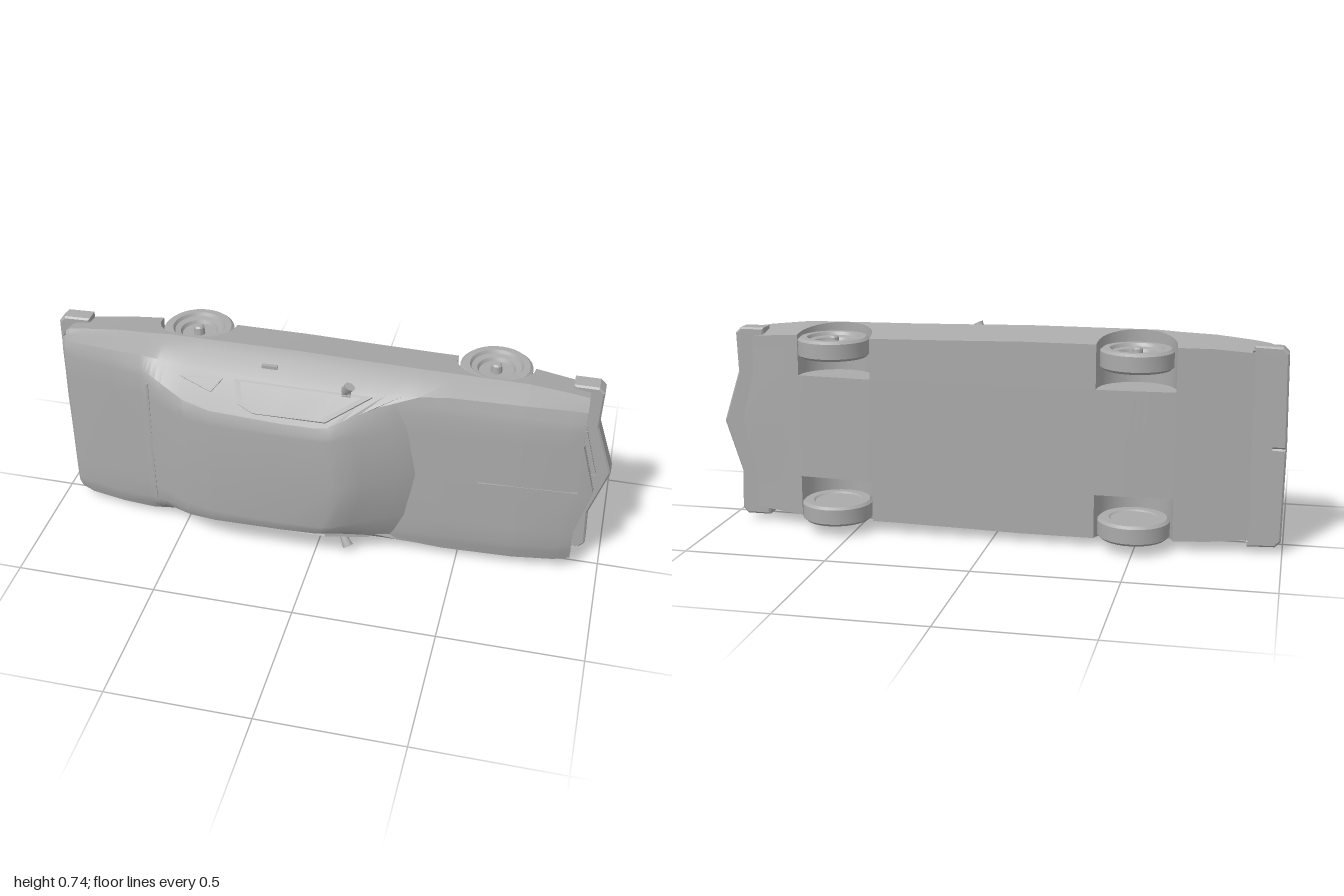
import * as THREE from 'three';
import { toCreasedNormals } from 'three/addons/utils/BufferGeometryUtils.js';

const grey = new THREE.MeshStandardMaterial({ color: 0xaaaaaa });
grey.name = 'plain grey';

// The car lies on its side: x runs to its nose, y across it, z to its roof.
const WHEEL_X = [-0.495, 0.57], AXLE = -0.137, ARCH = 0.135, WELL = 0.185;

// x, floor, widest half, belt half, belt height, edge half, edge height, top, windscreen bow
const ROWS = [
  [-0.945, -0.10, 0.330, 0.322, 0.030, 0.310, 0.040, 0.045, 0],
  [-0.93, -0.115, 0.338, 0.325, 0.050, 0.305, 0.060, 0.066, 0],
  [-0.88, -0.12, 0.346, 0.330, 0.070, 0.300, 0.080, 0.086, 0],
  [-0.75, -0.135, 0.360, 0.335, 0.090, 0.305, 0.100, 0.108, 0],
  [-0.63, -0.15, 0.365, 0.335, 0.100, 0.295, 0.118, 0.130, 0],
  [-0.55, -0.155, 0.370, 0.325, 0.100, 0.270, 0.155, 0.175, 0],
  [-0.45, -0.16, 0.370, 0.315, 0.100, 0.250, 0.210, 0.230, 0],
  [-0.35, -0.16, 0.370, 0.310, 0.105, 0.238, 0.234, 0.250, 0],
  [-0.10, -0.16, 0.370, 0.305, 0.110, 0.230, 0.240, 0.257, 0],
  [0.08, -0.16, 0.366, 0.305, 0.110, 0.228, 0.236, 0.254, 0.1],
  [0.125, -0.16, 0.365, 0.305, 0.110, 0.228, 0.228, 0.245, 0.12],
  [0.345, -0.16, 0.361, 0.315, 0.100, 0.290, 0.106, 0.113, 0.09],
  [0.45, -0.16, 0.360, 0.325, 0.095, 0.290, 0.104, 0.112, 0.04],
  [0.70, -0.14, 0.357, 0.325, 0.085, 0.285, 0.095, 0.104, 0],
  [0.88, -0.12, 0.342, 0.320, 0.070, 0.280, 0.082, 0.092, 0],
  [0.95, -0.11, 0.333, 0.312, 0.058, 0.275, 0.068, 0.076, 0],
];

function mesh(geometry, name, x = 0, y = 0, z = 0) {
  const m = new THREE.Mesh(geometry, grey);
  m.name = name;
  m.position.set(x, y, z);
  return m;
}

function rowAt(x) {
  let i = 0;
  while (i < ROWS.length - 2 && x > ROWS[i + 1][0]) i++;
  const a = ROWS[i], b = ROWS[i + 1], t = (x - a[0]) / (b[0] - a[0]);
  return a.map((v, k) => v + (b[k] - v) * t);
}

// The nose comes to a shallow point in plan.
const noseShift = (x, u) => 0.05 * Math.max(0, (x - 0.7) / 0.25) * Math.min(1, Math.abs(u) / WELL);

// Closed section from the floor centre up the +y side and down the -y side.
function section(x, inset = 0, recess = 0) {
  const [, floor, wide, beltU, beltH, edgeU, edgeH, top, bow] = rowAt(x);
  let w = floor;
  for (const c of WHEEL_X) {
    const d = ARCH * ARCH - (x - c) ** 2;
    if (d > 0) w = Math.max(w, AXLE + Math.sqrt(d));
  }
  const side = (h) => [wide + 0.19 * Math.min(0, h), h];
  let half = [
    [0, floor], [WELL, floor], [WELL, w], side(w), side(Math.max(-0.08, w)), side(0),
    [wide - 0.012, beltH * 0.4], [beltU, beltH], [edgeU, edgeH],
    [edgeU - 0.03, edgeH + (top - edgeH) * 0.7], [WELL, top - (top - edgeH) * 0.2], [0, top],
  ];
  if (inset) half = half.map(([u, h]) => [Math.min(u, 0.317), Math.min(0.061, Math.max(-0.042, h))]);
  const pts = half.map(([u, h], k) =>
    [x - recess - noseShift(x, u) - (k >= 8 ? bow * (u / 0.3) ** 2 : 0), u, h]);
  const mirrored = pts.slice(1, 11).reverse().map(([px, u, h]) => [px, -u, h]);
  return pts.concat(mirrored);
}

function bodyGeometry() {
  const xs = ROWS.map((r) => r[0]);
  for (const c of WHEEL_X) {
    for (let i = 0; i <= 16; i++) xs.push(c - ARCH * 0.99999 * Math.cos((i / 16) * Math.PI));
    xs.push(c - ARCH - 0.0005, c + ARCH + 0.0005);
  }
  for (let i = 1; i < 4; i++) xs.push(0.125 + 0.055 * i);
  xs.sort((a, b) => a - b);
  const rings = xs.map((x) => section(x));
  rings.push(section(0.95, 1), section(0.95, 1, 0.028)); // recessed nose panel
  const n = 22, pos = rings.flat(2), idx = [];
  for (let r = 0; r < rings.length - 1; r++) {
    for (let i = 0; i < n; i++) {
      const a = r * n + i, b = r * n + ((i + 1) % n);
      idx.push(a, b, a + n, b, b + n, a + n);
    }
  }
  const quad = (o, a, b, c, d) => idx.push(o + a, o + b, o + c, o + a, o + c, o + d);
  const last = (rings.length - 1) * n, m = (k) => (n - k) % n;
  for (let k = 0; k < 5; k++) {
    quad(last, k, k + 1, 10 - k, 11 - k);
    quad(last, m(k), m(11 - k), m(10 - k), m(k + 1));
    quad(0, 11 - k, 10 - k, k + 1, k);
    quad(0, m(k + 1), m(10 - k), m(11 - k), m(k));
  }
  const g = new THREE.BufferGeometry();
  g.setAttribute('position', new THREE.Float32BufferAttribute(pos, 3));
  g.setIndex(idx);
  return toCreasedNormals(g, 0.42);
}

// Plan outline (given for y >= 0, mirrored) raised between two heights.
function planBar(outer, inner, low, high) {
  const flip = (list) => list.map(([x, y]) => [x, -y]);
  const loop = [...outer, ...flip(outer).reverse(), ...flip(inner), ...inner.slice().reverse()];
  const shape = new THREE.Shape(loop.map(([x, y]) => new THREE.Vector2(x, y)));
  const b = 0.006;
  const g = new THREE.ExtrudeGeometry(shape, {
    depth: high - low - 2 * b, bevelThickness: b, bevelSize: b, bevelOffset: -b, bevelSegments: 1,
  });
  return g.translate(0, 0, low + b);
}

// Raised surround of a side window; points are x and distance up the glass.
function windowFrame(points, s) {
  const pts = points.map(([x, y]) => new THREE.Vector2(-s * x, y));
  const mid = pts.reduce((a, p) => a.add(p), new THREE.Vector2()).divideScalar(pts.length);
  const shape = new THREE.Shape(pts);
  shape.holes.push(new THREE.Path(pts.map((p) => p.clone().lerp(mid, 0.12))));
  const g = new THREE.ExtrudeGeometry(shape, { depth: 0.007, bevelEnabled: false });
  const X = new THREE.Vector3(-s, 0, 0);
  const Y = new THREE.Vector3(0, -s * 0.076, 0.13).normalize();
  const Z = X.clone().cross(Y);
  g.applyMatrix4(new THREE.Matrix4().makeBasis(X, Y, Z));
  return g.translate(0, s * 0.304, 0.11);
}

function wheelGeometry() {
  const profile = [
    [0, -0.03], [0.08, -0.03], [0.086, -0.035], [0.115, -0.035], [0.125, -0.026], [0.125, 0.026],
    [0.115, 0.035], [0.092, 0.035], [0.086, 0.024], [0.066, 0.02], [0.06, 0.008],
    [0.02, 0.006], [0.018, 0.032], [0.012, 0.038], [0, 0.038],
  ].map(([r, y]) => new THREE.Vector2(r, y));
  return toCreasedNormals(new THREE.LatheGeometry(profile, 32), 0.5);
}

export function createModel() {
  const model = new THREE.Group();
  model.name = 'coupe';
  const car = new THREE.Group();
  car.name = 'car';
  car.position.y = 0.37;
  model.add(car);

  car.add(mesh(bodyGeometry(), 'body'));

  // Bumpers
  car.add(mesh(planBar(
    [[0.84, 0.345], [0.925, 0.345], [0.945, 0.325], [0.94, 0.185], [1.0, 0]],
    [[0.84, 0.31], [0.87, 0.30], [0.87, 0.185], [0.92, 0]], -0.113, -0.046), 'frontBumper'));
  car.add(mesh(planBar(
    [[-1.0, 0], [-0.995, 0.325], [-0.975, 0.345], [-0.88, 0.348]],
    [[-0.93, 0], [-0.93, 0.31], [-0.88, 0.325]].map((p) => p), -0.12, -0.06), 'rearBumper'));

  // Wheels
  const wheel = wheelGeometry();
  for (const x of WHEEL_X) {
    for (const s of [1, -1]) {
      const w = mesh(wheel, x > 0 ? 'frontWheel' : 'rearWheel', x, s * 0.295, AXLE);
      if (s < 0) w.rotation.x = Math.PI;
      car.add(w);
    }
  }

  // Grille cells and rails on the pointed nose
  const slope = Math.atan2(0.05, WELL);
  for (const s of [1, -1]) {
    for (let k = 0; k < 4; k++) {
      const u = 0.022 + k * 0.042;
      const cell = mesh(new THREE.BoxGeometry(0.018, 0.035, 0.078), 'grilleCell',
        0.926 - 0.27 * u, s * u, 0.014);
      cell.rotation.z = s * slope;
      car.add(cell);
    }
    for (const z of [-0.031, 0.059]) {
      const rail = mesh(new THREE.BoxGeometry(0.03, 0.178, 0.006), 'grilleRail', 0.912, s * 0.086, z);
      rail.rotation.z = s * slope;
      car.add(rail);
    }
    // Twin headlights
    for (const u of [0.224, 0.285]) {
      car.add(mesh(new THREE.BoxGeometry(0.016, 0.056, 0.07), 'headlightBezel', 0.875, s * u, 0.018));
      const lamp = mesh(new THREE.SphereGeometry(0.026, 20, 12), 'headlight', 0.883, s * u, 0.02);
      lamp.scale.x = 0.6;
      car.add(lamp);
    }
    car.add(mesh(new THREE.BoxGeometry(0.008, 0.2, 0.05), 'tailLight', -0.944, s * 0.2, -0.015));

    // Side glass surrounds
    car.add(mesh(windowFrame(
      [[-0.29, 0.01], [0.19, 0.01], [0.05, 0.125], [-0.2, 0.128], [-0.26, 0.1]], s), 'doorWindow'));
    car.add(mesh(windowFrame([[-0.48, 0.025], [-0.33, 0.015], [-0.36, 0.07]], s), 'quarterWindow'));

    // Door mirror and handle
    const mirror = mesh(new THREE.CylinderGeometry(0.02, 0.012, 0.045, 8), 'doorMirror', 0.105, s * 0.328, 0.131);
    mirror.rotation.x = s * 0.35;
    mirror.rotation.z = -0.5 * s + (s < 0 ? Math.PI : 0);
    mirror.scale.z = 0.75;
    car.add(mirror);
    car.add(mesh(new THREE.BoxGeometry(0.03, 0.05, 0.01), 'mirrorArm', 0.1, s * 0.305, 0.122));
    car.add(mesh(new THREE.BoxGeometry(0.055, 0.016, 0.014), 'doorHandle', -0.178, s * 0.335, 0.07));
  }

  // Hood crease and boot seam
  const crease = mesh(new THREE.BoxGeometry(0.34, 0.006, 0.006), 'hoodCrease', 0.73, 0, 0.101);
  crease.rotation.y = 0.06;
  car.add(crease);
  car.add(mesh(new THREE.BoxGeometry(0.008, 0.5, 0.006), 'bootSeam', -0.6, 0, 0.146));

  return model;
}
